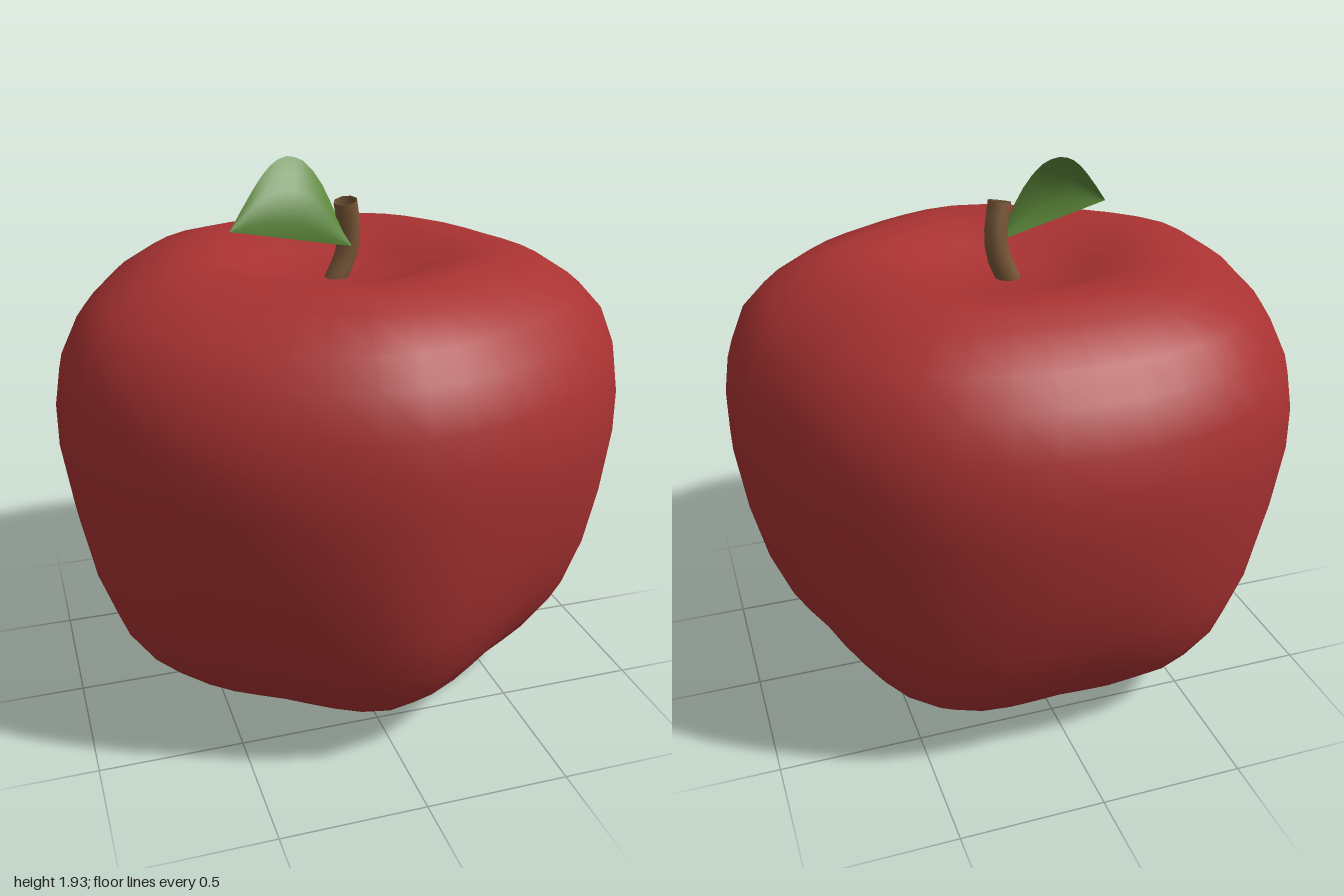
import * as THREE from 'three';
import { mergeVertices } from 'three/addons/utils/BufferGeometryUtils.js';

const red = new THREE.MeshStandardMaterial({ color: 0xa93232 });
red.name = 'appleRed';
const brown = new THREE.MeshStandardMaterial({ color: 0x7a5838, side: THREE.DoubleSide });
brown.name = 'stemBrown';
const green = new THREE.MeshStandardMaterial({ color: 0x5c883a, side: THREE.DoubleSide });
green.name = 'leafGreen';

// Widest outline: radius every 18 degrees from front to back, mirrored
const outline = [0.965, 0.952, 0.957, 0.98, 1.008, 1.0, 0.987, 1.005, 1.0, 0.98, 0.97];

function outlineRadius(angle) {
  const f = Math.abs(angle) / Math.PI * 10;
  const i = Math.min(9, Math.floor(f));
  return THREE.MathUtils.lerp(outline[i], outline[i + 1], f - i);
}

// Fruit: turned profile with a dimple at both ends, pushed into five lobes
function makeBody() {
  const profile = [
    [0, 0.09], [0.12, 0.07], [0.24, 0.025], [0.37, 0], [0.52, 0.05], [0.64, 0.12],
    [0.765, 0.23], [0.86, 0.37], [0.925, 0.55], [0.97, 0.765], [1, 1.0], [1, 1.15],
    [0.98, 1.28], [0.925, 1.41], [0.84, 1.5], [0.715, 1.58], [0.57, 1.62],
    [0.42, 1.607], [0.3, 1.555], [0.17, 1.525], [0, 1.512],
  ].map(([r, y]) => new THREE.Vector2(r, y));
  let geo = new THREE.LatheGeometry(profile, 40);
  const p = geo.attributes.position;
  for (let i = 0; i < p.count; i++) {
    const x = p.getX(i), y = p.getY(i), z = p.getZ(i);
    const angle = Math.atan2(x, z);
    // lobes deepen towards the base and the shoulders
    const depth = Math.min(0.05, 0.03 * ((y - 1.05) / 0.6) ** 2);
    const s = outlineRadius(angle) * (1 - 0.6 * depth + depth * Math.cos(5 * angle));
    p.setXYZ(i, x * s, y, z * s);
  }
  geo.deleteAttribute('uv');
  geo.deleteAttribute('normal');
  geo = mergeVertices(geo, 1e-4);
  geo.computeVertexNormals();
  return new THREE.Mesh(geo, red);
}

// Stem: a short bent open tube
function makeStem() {
  const path = new THREE.CatmullRomCurve3([
    new THREE.Vector3(-0.005, 1.5, -0.005),
    new THREE.Vector3(0.04, 1.6, -0.01),
    new THREE.Vector3(0.047, 1.68, -0.005),
    new THREE.Vector3(0.028, 1.785, 0.012),
  ]);
  return new THREE.Mesh(new THREE.TubeGeometry(path, 6, 0.042, 8, false), brown);
}

// Leaf: a cupped sheet between a straight lower edge and an arched upper edge
function makeLeaf() {
  const v = (x, y, z) => new THREE.Vector3(x, y, z);
  const tip = v(-0.4, 1.725, 0.1), base = v(0.045, 1.63, 0.035);
  const upper = new THREE.CatmullRomCurve3([
    tip, v(-0.3, 1.845, 0.03), v(-0.225, 1.912, -0.025), v(-0.16, 1.935, -0.055),
    v(-0.1, 1.915, -0.055), v(-0.04, 1.835, -0.035), v(0, 1.735, -0.005), base,
  ]);
  const cols = 14, rows = 5;
  const geo = new THREE.PlaneGeometry(1, 1, cols, rows);
  const p = geo.attributes.position;
  for (let i = 0; i < p.count; i++) {
    const u = p.getX(i) + 0.5, w = p.getY(i) + 0.5;
    const q = tip.clone().lerp(base, u).lerp(upper.getPoint(u), w);
    q.z += 0.16 * Math.sin(Math.PI * u) * w * (1 - w);
    p.setXYZ(i, q.x, q.y, q.z);
  }
  geo.computeVertexNormals();
  return new THREE.Mesh(geo, green);
}

export function createModel() {
  const model = new THREE.Group();
  model.name = 'apple';
  const parts = { body: makeBody(), stem: makeStem(), leaf: makeLeaf() };
  for (const [name, mesh] of Object.entries(parts)) {
    mesh.name = name;
    model.add(mesh);
  }
  return model;
}
